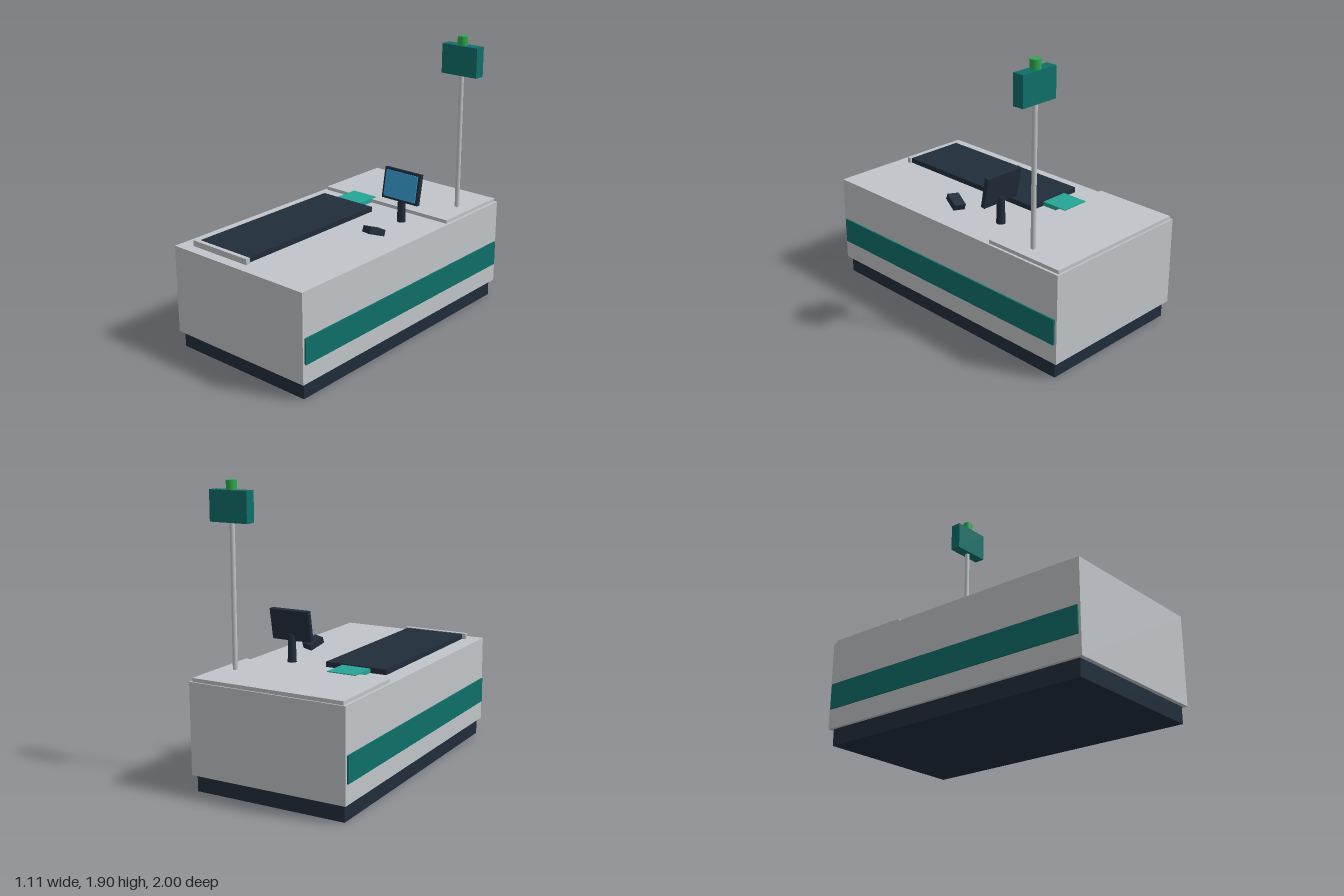
import * as THREE from 'three';

const material = (name, color, extra = {}) => {
  const m = new THREE.MeshStandardMaterial({ color, ...extra });
  m.name = name;
  return m;
};

export function createModel() {
  const root = new THREE.Group();
  root.name = 'checkoutCounter';

  const grey = material('lightGrey', 0xc1c5c9);
  const dark = material('darkSlate', 0x212d3b);
  const teal = material('deepTeal', 0x0e6f69);
  const mint = material('brightTeal', 0x25a596);
  const blue = material('screenBlue', 0x38a3d6);
  const green = material('lampGreen', 0x2fa84f);

  const add = (name, geometry, mat, x, y, z, parent = root) => {
    const mesh = new THREE.Mesh(geometry, mat);
    mesh.name = name;
    mesh.position.set(x, y, z);
    parent.add(mesh);
    return mesh;
  };
  // Box given by its extents along each axis
  const box = (name, mat, [x0, x1], [y0, y1], [z0, z1]) =>
    add(name, new THREE.BoxGeometry(x1 - x0, y1 - y0, z1 - z0), mat,
      (x0 + x1) / 2, (y0 + y1) / 2, (z0 + z1) / 2);
  // Upright cylinder given by its radii and height range
  const post = (name, mat, rTop, rBottom, [y0, y1], x, z, sides) =>
    add(name, new THREE.CylinderGeometry(rTop, rBottom, y1 - y0, sides), mat, x, (y0 + y1) / 2, z);

  // Counter body on a recessed plinth
  box('plinth', dark, [-0.525, 0.515], [0, 0.11], [-0.972, 0.972]);
  box('counterBody', grey, [-0.547, 0.537], [0.11, 0.703], [-1, 1]);
  box('rearCounterPlate', grey, [-0.53, 0.52], [0.703, 0.727], [-0.99, -0.42]);

  // Stripes along both long sides
  for (const [name, x] of [['rightStripe', -0.547], ['leftStripe', 0.537]]) {
    box(name, teal, [x - 0.01, x + 0.01], [0.24, 0.41], [-0.985, 0.985]);
  }

  // Conveyor belt, its end bar and the scanning plate
  box('conveyorBelt', dark, [-0.43, 0], [0.703, 0.738], [-0.278, 0.897]);
  box('beltEndBar', grey, [-0.455, 0.015], [0.703, 0.742], [0.897, 0.927]);
  box('scanPlate', mint, [-0.318, -0.118], [0.703, 0.732], [-0.468, -0.278]);

  // Monitor, leaning back on its stand
  post('monitorStand', dark, 0.024, 0.03, [0.703, 0.885], 0.263, -0.266, 16);
  const monitor = new THREE.Group();
  monitor.name = 'monitor';
  monitor.position.set(0.263, 0.949, -0.27);
  monitor.rotation.x = -0.18;
  root.add(monitor);
  add('monitorFrame', new THREE.BoxGeometry(0.29, 0.208, 0.03), dark, 0, 0, 0, monitor);
  add('monitorScreen', new THREE.BoxGeometry(0.258, 0.178, 0.006), blue, 0, 0, 0.018, monitor);

  // Hand scanner lying tilted on the counter
  const scanner = add('handScanner', new THREE.BoxGeometry(0.08, 0.042, 0.12), dark, 0.318, 0.754, 0.09);
  scanner.rotation.set(-0.35, -0.3, 0);

  // Lane sign on a pole with a lamp on top
  post('signPole', grey, 0.016, 0.016, [0.727, 1.645], 0.414, -0.69, 16);
  box('laneSign', teal, [0.28, 0.553], [1.645, 1.842], [-0.728, -0.652]);
  post('signLamp', green, 0.034, 0.034, [1.842, 1.902], 0.414, -0.69, 16);

  return root;
}
